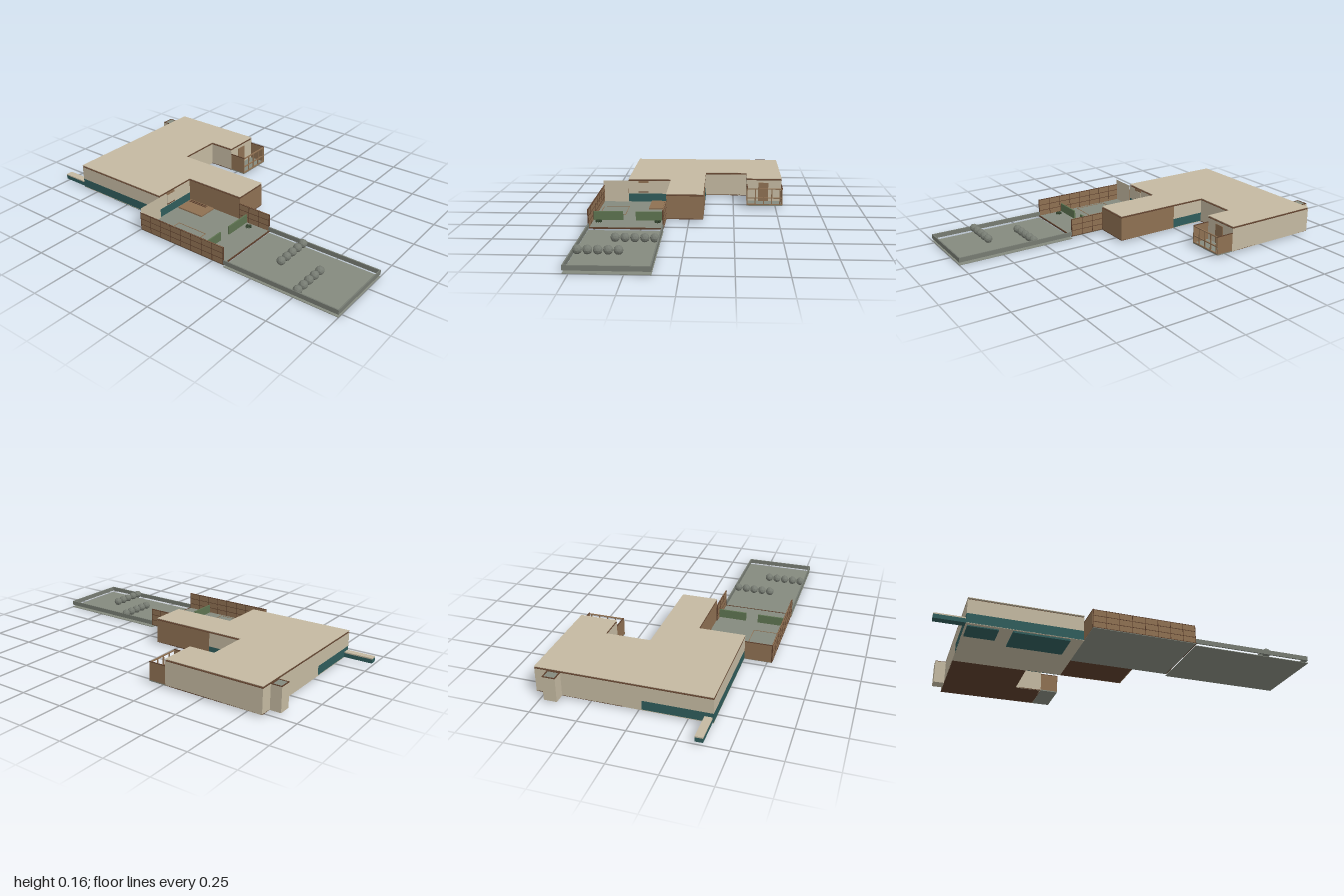
import * as THREE from 'three';

const mat = (name, color) => new THREE.MeshStandardMaterial({ name, color });

export function createModel() {
  const model = new THREE.Group();
  model.name = 'house';
  const beige = mat('beige plaster', 0xc4b9a1);
  const brown = mat('brown timber', 0x8e7052);
  const dark = mat('dark timber', 0x5c3f2c);
  const grey = mat('grey paving', 0x858a7e);
  const stone = mat('stone grey', 0x767b72);
  const teal = mat('teal base', 0x2f5c5b);
  const green = mat('green hedge', 0x5d7350);
  const leaf = mat('dark leaf', 0x35452f);
  const beigeFlat = stone.clone();
  Object.assign(beigeFlat, { name: 'bush grey', flatShading: true });

  const box = (name, material, x0, x1, y0, y1, z0, z1, parent = model) => {
    const m = new THREE.Mesh(new THREE.BoxGeometry(x1 - x0, y1 - y0, z1 - z0), material);
    m.position.set((x0 + x1) / 2, (y0 + y1) / 2, (z0 + z1) / 2);
    m.name = name;
    parent.add(m);
    return m;
  };
  // Horizontal plate cut from an outline of [x, z] points
  const plate = (name, material, pts, y, h) => {
    const shape = new THREE.Shape(pts.map(([x, z]) => new THREE.Vector2(x, -z)));
    const g = new THREE.ExtrudeGeometry(shape, { depth: h, bevelEnabled: false });
    g.rotateX(-Math.PI / 2);
    const m = new THREE.Mesh(g, material);
    m.position.y = y;
    m.name = name;
    model.add(m);
  };

  const F = 0.012, S = 0.067, T = 0.147, R = 0.117, W = 0.006;

  // Roof, floating just above the wall tops, with a timber ceiling under it
  const outline = [[-0.84, 0.38], [-0.23, 0.38], [-0.23, 0.125], [0.13, 0.125], [0.13, -0.08],
    [-0.43, -0.08], [-0.43, -0.33], [-0.28, -0.33], [-0.28, -0.54], [-0.84, -0.54]];
  plate('roof', beige, outline, 0.154, 0.003);
  plate('ceiling', dark, outline, T - 0.002, 0.002);

  // Floors
  box('frontRoomFloor', beige, -0.84, -0.23, F, 0.016, -0.08, 0.38);
  box('wingFloor', dark, -0.23, 0.13, F, 0.016, -0.08, 0.125);
  box('backFloor', dark, -0.84, -0.43, F, 0.016, -0.54, -0.08);
  box('backRoomFloor', dark, -0.43, -0.28, F, 0.016, -0.54, -0.33);

  // Outer walls; some stand on a teal base
  const wall = (name, material, x0, x1, z0, z1, based = false) => {
    box(name, material, x0, x1, based ? S : F, T - 0.002, z0, z1);
    if (based) box(name + 'Base', teal, x0, x1, F, S, z0, z1);
  };
  wall('frontWall', beige, -0.84, -0.23, 0.38 - W, 0.38, true);
  wall('leftFrontWall', beige, -0.84, -0.84 + W, 0.02, 0.38 - W, true);
  wall('leftBackWall', beige, -0.84, -0.84 + W, -0.54, 0.02);
  wall('backWall', beige, -0.84 + W, -0.28, -0.54, -0.54 + W);
  wall('backRoomEndWall', beige, -0.28 - W, -0.28, -0.54 + W, -0.33);
  wall('backRoomFrontWall', beige, -0.43, -0.28 - W, -0.33 - W, -0.33);
  wall('recessWall', beige, -0.43 - W, -0.43, -0.33, -0.08);
  wall('recessFrontWall', beige, -0.43, -0.23, -0.08, -0.08 + W, true);
  wall('wingBackWall', brown, -0.23, 0.13, -0.08, -0.08 + W);
  wall('wingEndWall', brown, 0.13 - W, 0.13, -0.08 + W, 0.125);
  wall('wingFrontWall', brown, -0.23, 0.13 - W, 0.125 - W, 0.125);
  wall('courtWall', beige, -0.23 - W, -0.23, 0.125, 0.38 - W, true);

  // Courtyard window in the house wall
  box('courtDoorHead', brown, -0.23, -0.227, 0.132, T - 0.002, 0.26, 0.32);
  box('courtDoor', beige, -0.23, -0.226, 0.08, 0.132, 0.26, 0.32);
  box('courtDoorSill', dark, -0.23, -0.226, 0.074, 0.08, 0.26, 0.32);

  // Chimney-like shaft on the left wall
  box('shaft', beige, -0.9, -0.84, F, T - 0.003, -0.47, -0.4);
  box('shaftTop', grey, -0.893, -0.847, T - 0.003, T - 0.001, -0.463, -0.407);
  for (const x of [-0.9, -0.846]) box('shaftRim', dark, x, x + 0.006, T - 0.003, T, -0.47, -0.4);
  for (const z of [-0.47, -0.406]) box('shaftRim', dark, -0.894, -0.846, T - 0.003, T, z, z + 0.006);

  // Low garden wall beyond the left front corner
  box('sideWall', teal, -1, -0.84, 0.015, 0.038, 0.335, 0.375);
  box('sideWallCap', beige, -1, -0.84, 0.038, 0.045, 0.335, 0.375);

  // Sunken basins under the front room
  box('basin', teal, -0.6, -0.3, 0.002, F, 0.2, 0.37);
  box('smallBasin', teal, -0.83, -0.67, 0.006, F, 0.24, 0.36);

  // Back terrace with solid sides and an open railing
  box('terraceFloor', grey, -0.28, -0.18, F, 0.018, -0.54, -0.33);
  for (const z of [-0.54, -0.334]) {
    box('terraceSide', brown, -0.28, -0.18, 0.018, R, z, z + 0.004);
    box('terraceSideCap', dark, -0.28, -0.18, R, R + 0.003, z - 0.001, z + 0.005);
  }
  for (let i = 0; i < 5; i++) {
    const z = -0.525 + i * 0.0485;
    box('railingPost', brown, -0.186, -0.18, 0.018, R, z - 0.003, z + 0.003);
  }
  for (const y of [0.018, 0.057, R - 0.005])
    box('railingBar', brown, -0.187, -0.179, y, y + 0.005, -0.536, -0.334);
  box('terraceDoor', brown, -0.28, -0.276, 0.018, 0.13, -0.46, -0.4);

  // Courtyard
  box('courtFloor', grey, -0.23, 0.33, F, 0.018, 0.125, 0.53);
  box('deck', brown, -0.22, -0.05, 0.018, 0.026, 0.13, 0.24);
  for (const z of [0.138, 0.15]) box('deckBench', dark, -0.21, -0.09, 0.026, 0.029, z, z + 0.004);
  for (const z of [0.36, 0.507]) box('matEdge', brown, -0.11, 0.08, 0.018, 0.02, z, z + 0.003);
  for (const x of [-0.11, 0.077]) box('matEdge', brown, x, x + 0.003, 0.018, 0.02, 0.363, 0.507);
  for (const [a, b] of [[0.13, 0.29], [0.36, 0.525]])
    box('hedgeWall', green, 0.176, 0.184, 0.018, S, a, b);
  box('courtEdge', dark, 0.33, 0.335, F, 0.02, 0.125, 0.53);

  // Timber fences with a grid of darker bars
  const fenceX = (x0, x1, z) => {
    const g = new THREE.Group();
    g.name = 'fence';
    model.add(g);
    box('fencePanel', brown, x0, x1, 0.015, R, z, z + 0.005, g);
    for (const y of [0.015, 0.047, 0.081, R - 0.003])
      box('fenceBar', dark, x0, x1, y, y + 0.003, z - 0.001, z + 0.006, g);
    const n = Math.round((x1 - x0) / 0.07);
    for (let i = 0; i <= n; i++) {
      const x = x0 + (x1 - x0) * i / n;
      box('fencePost', dark, x - 0.0015, x + 0.0015, 0.015, R, z - 0.001, z + 0.006, g);
    }
  };
  fenceX(-0.23, 0.33, 0.525);
  fenceX(0.13, 0.33, 0.125);
  box('fenceSide', brown, -0.232, -0.227, 0.015, R, 0.38, 0.525);
  box('fenceSideCap', dark, -0.233, -0.226, R, R + 0.002, 0.38, 0.531);

  // Inner screen between the house and the front fence
  const screen = new THREE.Mesh(new THREE.PlaneGeometry(0.15, T - 0.018), beige);
  screen.rotation.y = Math.PI / 2;
  screen.position.set(-0.2255, (T + 0.018) / 2, 0.455);
  screen.name = 'innerScreen';
  model.add(screen);

  // Small star-shaped plants
  for (const z of [0.165, 0.49]) {
    for (let i = 0; i < 4; i++) {
      const m = new THREE.Mesh(new THREE.BoxGeometry(0.034, 0.01, 0.004), leaf);
      m.position.set(0.22, 0.023, z);
      m.rotation.y = i * Math.PI / 4;
      m.name = 'plant';
      model.add(m);
    }
  }

  // Garden: lawn plate with a raised low rim around it
  box('gardenFloor', grey, 0.33, 1, 0, 0.003, 0.125, 0.53);
  box('gardenRimFront', stone, 0.33, 1, 0.016, 0.041, 0.523, 0.53);
  box('gardenRimBack', stone, 0.33, 1, 0.016, 0.041, 0.125, 0.132);
  box('gardenRimEnd', stone, 0.993, 1, 0.016, 0.041, 0.132, 0.523);

  // Two rows of round bushes
  const bush = new THREE.IcosahedronGeometry(0.024, 1);
  for (const [x, z0] of [[0.56, 0.15], [0.76, 0.305]]) {
    for (let i = 0; i < 5; i++) {
      const m = new THREE.Mesh(bush, beigeFlat);
      m.position.set(x, 0.037, z0 + i * 0.05);
      m.name = 'bush';
      model.add(m);
    }
  }
  return model;
}
